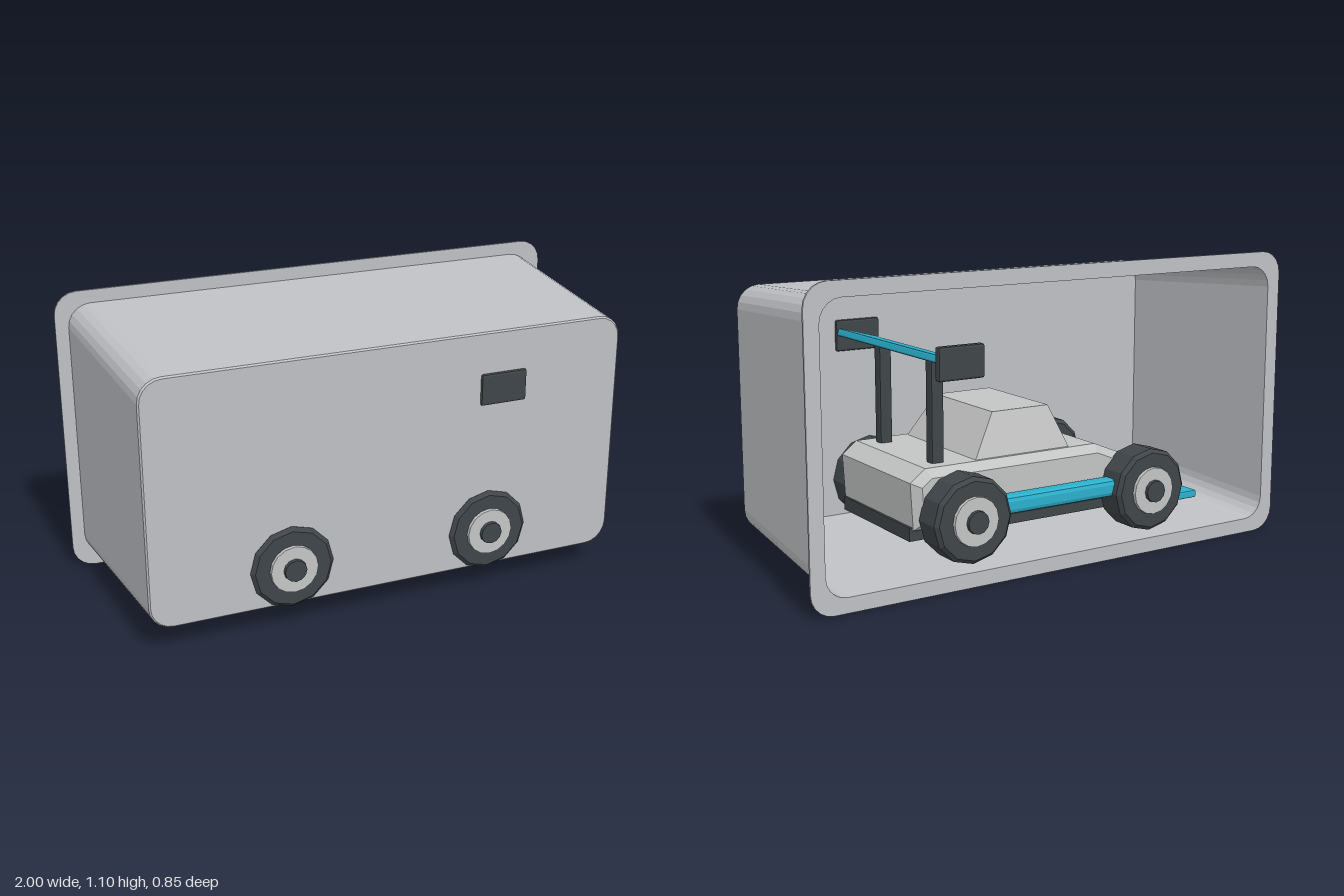
import * as THREE from 'three';
import { RoundedBoxGeometry } from 'three/addons/geometries/RoundedBoxGeometry.js';

const material = (name, color, side = THREE.FrontSide) => {
  const m = new THREE.MeshStandardMaterial({ color, side, flatShading: true });
  m.name = name;
  return m;
};

// Loop of a rounded rectangle, counter-clockwise, centred on (0, cy)
function roundedLoop(hw, hh, r, cy, z, seg = 5) {
  const pts = [];
  const signs = [[1, 1], [-1, 1], [-1, -1], [1, -1]];
  signs.forEach(([sx, sy], q) => {
    for (let i = 0; i <= seg; i++) {
      const a = (q + i / seg) * Math.PI / 2;
      pts.push([sx * (hw - r) + r * Math.cos(a), cy + sy * (hh - r) + r * Math.sin(a), z]);
    }
  });
  return pts;
}

// Skin over a series of equal-length loops
function loft(loops) {
  const n = loops[0].length, index = [];
  for (let i = 0; i < loops.length - 1; i++) {
    for (let j = 0; j < n; j++) {
      const a = i * n + j, b = i * n + (j + 1) % n;
      index.push(a, b, b + n, a, b + n, a + n);
    }
  }
  const g = new THREE.BufferGeometry();
  g.setAttribute('position', new THREE.Float32BufferAttribute(loops.flat(2), 3));
  g.setIndex(index);
  g.computeVertexNormals();
  return g;
}

export function createModel() {
  const root = new THREE.Group();
  root.name = 'carInTray';
  const trayGrey = material('tray grey', 0xbfc0c4, THREE.DoubleSide);
  const bodyGrey = material('body grey', 0xc3c4c4);
  const charcoal = material('charcoal', 0x3f4549);
  const cyan = material('cyan', 0x2bb0cc);

  const add = (name, geometry, mat, x = 0, y = 0, z = 0, parent = root) => {
    const mesh = new THREE.Mesh(geometry, mat);
    mesh.name = name;
    mesh.position.set(x, y, z);
    parent.add(mesh);
    return mesh;
  };
  const rbox = (w, h, d, r) => new RoundedBoxGeometry(w, h, d, 1, r);

  // Tapered tray: inside floor, inside walls, flange, outside walls, outside floor
  const cy = 0.553;
  add('tray', loft([
    roundedLoop(0.0002, 0.0002, 0.0001, cy, 0.379),
    roundedLoop(0.899, 0.449, 0.08, cy, 0.379),
    roundedLoop(0.945, 0.495, 0.08, 0.55, -0.384),
    roundedLoop(1.0, 0.55, 0.085, 0.55, -0.384),
    roundedLoop(1.0, 0.55, 0.085, 0.55, -0.376),
    roundedLoop(0.951, 0.501, 0.085, 0.55, -0.376),
    roundedLoop(0.906, 0.457, 0.085, cy, 0.379),
    roundedLoop(0.900, 0.451, 0.08, cy, 0.385),
    roundedLoop(0.0002, 0.0002, 0.0001, cy, 0.385),
  ]), trayGrey);

  // Wedge body: side profile with bevelled flanks, nose towards -x
  const profile = new THREE.Shape([
    [-0.57, 0.2], [0.55, 0.2], [0.56, 0.37], [0.5, 0.415], [-0.22, 0.415], [-0.57, 0.27],
  ].map(([x, y]) => new THREE.Vector2(x, y)));
  const body = new THREE.ExtrudeGeometry(profile, {
    depth: 0.52, bevelEnabled: true, bevelSegments: 1,
    bevelThickness: 0.03, bevelSize: 0.03, bevelOffset: -0.03,
  });
  body.translate(0, 0, -0.26);
  add('body', body, bodyGrey);

  // Cabin: box narrowed towards the roof
  const cabin = new THREE.BoxGeometry(1, 1, 1);
  const p = cabin.attributes.position;
  for (let i = 0; i < p.count; i++) {
    const top = p.getY(i) > 0;
    p.setXYZ(i,
      top ? 0.07 + p.getX(i) * 0.24 : 0.09 + p.getX(i) * 0.41,
      top ? 0.57 : 0.405,
      p.getZ(i) * (top ? 0.4 : 0.5));
  }
  cabin.computeVertexNormals();
  add('cabin', cabin, bodyGrey);

  // Underside, bumper and splitter
  add('chassis', new THREE.BoxGeometry(1.12, 0.05, 0.5), charcoal, 0, 0.185, 0);
  add('frontBumper', rbox(0.05, 0.045, 0.52, 0.012), charcoal, -0.59, 0.24, 0);
  add('splitter', rbox(0.12, 0.03, 0.6, 0.006), cyan, -0.625, 0.165, 0);

  // Wing
  add('wing', rbox(0.175, 0.028, 0.74, 0.006), cyan, 0.43, 0.79, 0).rotation.z = 0.27;

  // Wheel turned about its axle, outer side towards +z
  const tyre = new THREE.LatheGeometry([
    [0, 0.27], [0.14, 0.27], [0.156, 0.285], [0.156, 0.386], [0.142, 0.4], [0, 0.4],
  ].map(([r, h]) => new THREE.Vector2(r, h)), 12).rotateX(Math.PI / 2);
  const rim = new THREE.CylinderGeometry(0.088, 0.09, 0.03, 16).rotateX(Math.PI / 2);
  const hub = new THREE.CylinderGeometry(0.041, 0.044, 0.03, 12).rotateX(Math.PI / 2);

  for (const s of [1, -1]) {
    for (const x of [-0.385, 0.385]) {
      const wheel = new THREE.Group();
      wheel.name = (x < 0 ? 'front' : 'rear') + 'Wheel';
      wheel.position.set(x, 0.243, 0);
      wheel.rotation.y = s > 0 ? 0 : Math.PI;
      add('tyre', tyre, charcoal, 0, 0, 0, wheel);
      add('rim', rim, bodyGrey, 0, 0, 0.398, wheel);
      add('hub', hub, charcoal, 0, 0, 0.411, wheel);
      root.add(wheel);
    }
    add('sill', rbox(0.52, 0.065, 0.075, 0.018), cyan, 0, 0.262, s * 0.325);
    add('wingPost', rbox(0.05, 0.39, 0.045, 0.008), charcoal, 0.42, 0.585, s * 0.19);
    add('wingEndPlate', rbox(0.18, 0.118, 0.03, 0.008), charcoal, 0.43, 0.797, s * 0.381);
  }
  return root;
}
